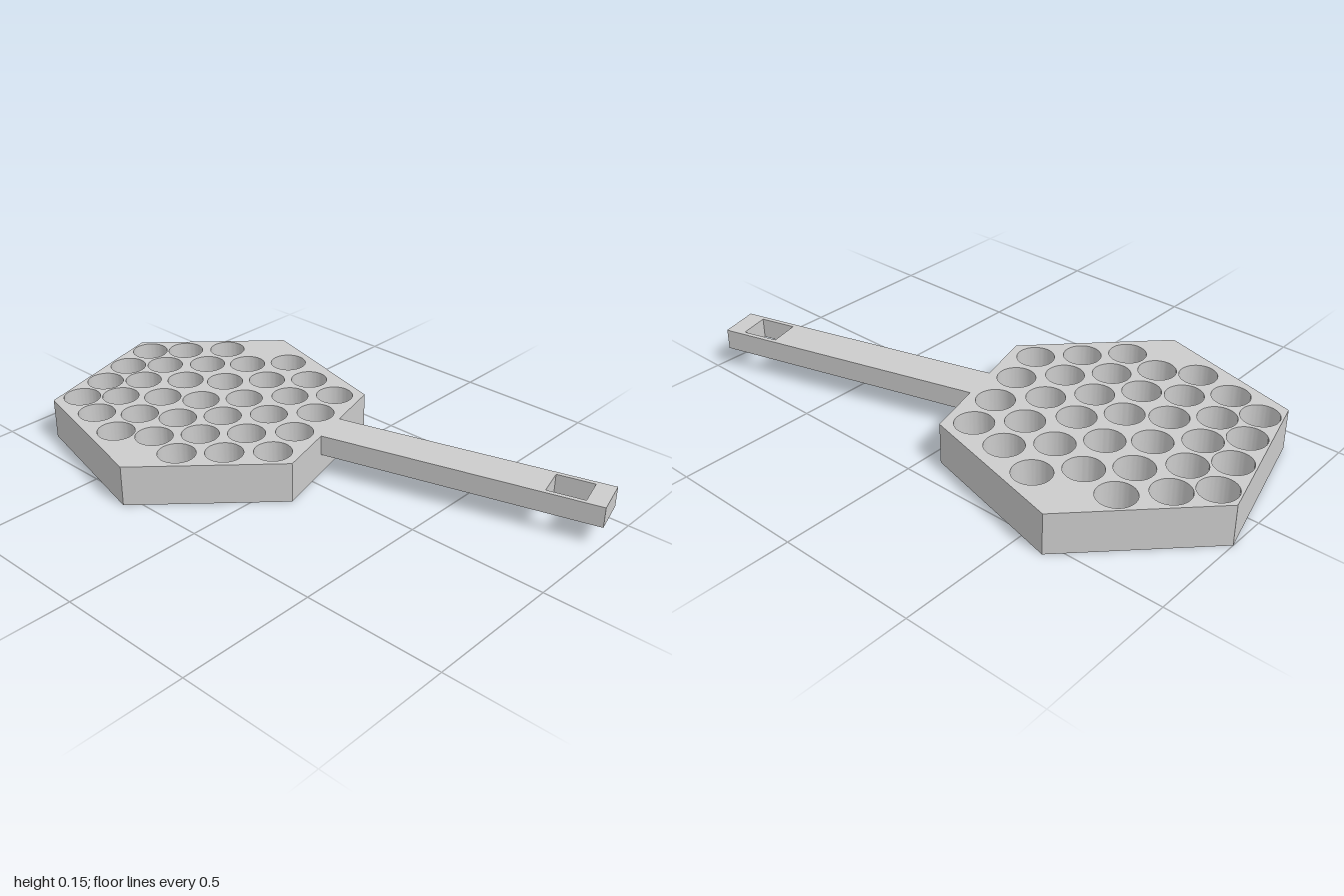
import * as THREE from 'three';
import { toCreasedNormals } from 'three/addons/utils/BufferGeometryUtils.js';

const HEIGHT = 0.148, FLOOR = 0.03, HANDLE_BOTTOM = 0.074;
const RADIUS = 0.567, HOLE_RADIUS = 0.066;
const APOTHEM = RADIUS * Math.cos(Math.PI / 6);

// Rows of round wells: z of the row, then x of each well
const WELL_ROWS = [
  [-0.417, [-0.211, -0.066, 0.083, 0.234]],
  [-0.296, [-0.288, -0.14, 0.008, 0.156, 0.304]],
  [-0.156, [-0.369, -0.223, -0.075, 0.081, 0.238, 0.389]],
  [-0.019, [-0.338, -0.187, -0.031, 0.14, 0.31]],
  [0.114, [-0.402, -0.251, -0.1, 0.053, 0.224, 0.394]],
  [0.253, [-0.323, -0.172, -0.013, 0.147, 0.3]],
  [0.395, [-0.241, -0.085, 0.075, 0.228]],
];

const material = new THREE.MeshStandardMaterial({ color: 0xcccccc });

// Extrude a plan outline (shape x, y = model x, z) between two heights
function slab(name, shape, bottom, top) {
  const geometry = new THREE.ExtrudeGeometry(shape, {
    depth: top - bottom, bevelEnabled: false, curveSegments: 32,
  });
  geometry.rotateX(Math.PI / 2).translate(0, top, 0);
  const mesh = new THREE.Mesh(toCreasedNormals(geometry, Math.PI / 6), material);
  mesh.name = name;
  return mesh;
}

function hexagon() {
  const points = [];
  for (let i = 0; i < 6; i++) {
    const a = (i * Math.PI) / 3;
    points.push(new THREE.Vector2(RADIUS * Math.cos(a), RADIUS * Math.sin(a)));
  }
  return new THREE.Shape(points);
}

function rectangle(halfWidth, z0, z1) {
  return [[-halfWidth, z0], [halfWidth, z0], [halfWidth, z1], [-halfWidth, z1]]
    .map(([x, z]) => new THREE.Vector2(x, z));
}

export function createModel() {
  const model = new THREE.Group();
  model.name = 'hexagonalPaddle';

  // Head: solid floor below a plate pierced by the wells
  const plate = hexagon();
  for (const [z, xs] of WELL_ROWS) {
    for (const x of xs) {
      plate.holes.push(new THREE.Path().absarc(x, z, HOLE_RADIUS, 0, Math.PI * 2, true));
    }
  }
  model.add(slab('headFloor', hexagon(), 0, FLOOR));
  model.add(slab('wellPlate', plate, FLOOR, HEIGHT));

  // Handle: flush with the top, with a square hanging hole
  const handle = new THREE.Shape(rectangle(0.071, APOTHEM, 1.485));
  handle.holes.push(new THREE.Path(rectangle(0.055, 1.285, 1.418).reverse()));
  model.add(slab('handle', handle, HANDLE_BOTTOM, HEIGHT));

  // The whole paddle lies turned on the ground
  model.rotation.y = THREE.MathUtils.degToRad(15.5);
  model.position.z = -0.451;
  const root = new THREE.Group();
  root.add(model);
  return root;
}
